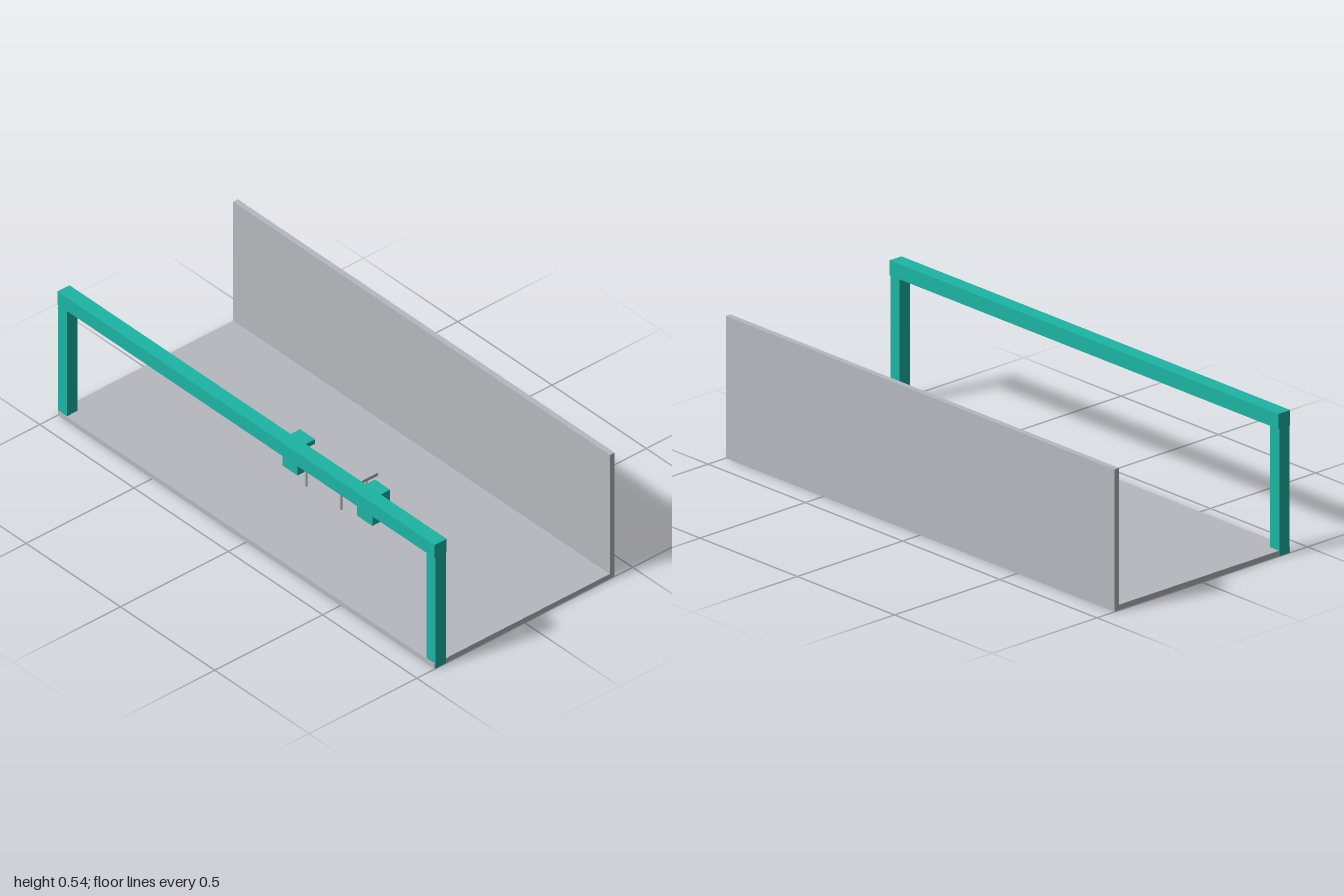
import * as THREE from 'three';

const grey = new THREE.MeshStandardMaterial({ name: 'concreteGrey', color: 0xb6b9be });
const teal = new THREE.MeshStandardMaterial({ name: 'teal', color: 0x1cb5a4 });

// Box given by its lower and upper corners
function box(name, material, [x0, y0, z0], [x1, y1, z1]) {
  const mesh = new THREE.Mesh(new THREE.BoxGeometry(x1 - x0, y1 - y0, z1 - z0), material);
  mesh.position.set((x0 + x1) / 2, (y0 + y1) / 2, (z0 + z1) / 2);
  mesh.name = name;
  return mesh;
}

export function createModel() {
  const model = new THREE.Group();
  model.name = 'stand';
  const floorTop = 0.021;

  // Floor and back wall
  model.add(box('floor', grey, [-0.999, 0.0006, -0.417], [0.999, floorTop, 0.417]));
  model.add(box('backWall', grey, [-0.999, floorTop, -0.417], [0.999, 0.534, -0.395]));

  // Front portal: a beam on two posts that reach through the floor
  const portal = new THREE.Group();
  portal.name = 'frontPortal';
  portal.add(box('beam', teal, [-1, 0.478, 0.362], [1, 0.535, 0.418]));
  portal.add(box('rightPost', teal, [-1, 0, 0.366], [-0.953, 0.478, 0.415]));
  portal.add(box('leftPost', teal, [0.953, 0, 0.366], [1, 0.478, 0.415]));
  model.add(portal);

  // Table with four round legs
  const table = new THREE.Group();
  table.name = 'table';
  table.add(box('tableTop', grey, [-0.137, 0.127, -0.074], [0.137, 0.14, 0.074]));
  const legGeometry = new THREE.CylinderGeometry(0.005, 0.005, 0.127 - floorTop, 16);
  for (const x of [-0.092, 0.092]) {
    for (const z of [-0.059, 0.059]) {
      const leg = new THREE.Mesh(legGeometry, grey);
      leg.name = 'tableLeg';
      leg.position.set(x, (0.127 + floorTop) / 2, z);
      table.add(leg);
    }
  }
  model.add(table);

  // Block stools at both ends of the table
  model.add(box('rightStool', teal, [-0.239, floorTop, -0.041], [-0.158, 0.138, 0.041]));
  model.add(box('leftStool', teal, [0.158, floorTop, -0.041], [0.239, 0.138, 0.041]));

  return model;
}
